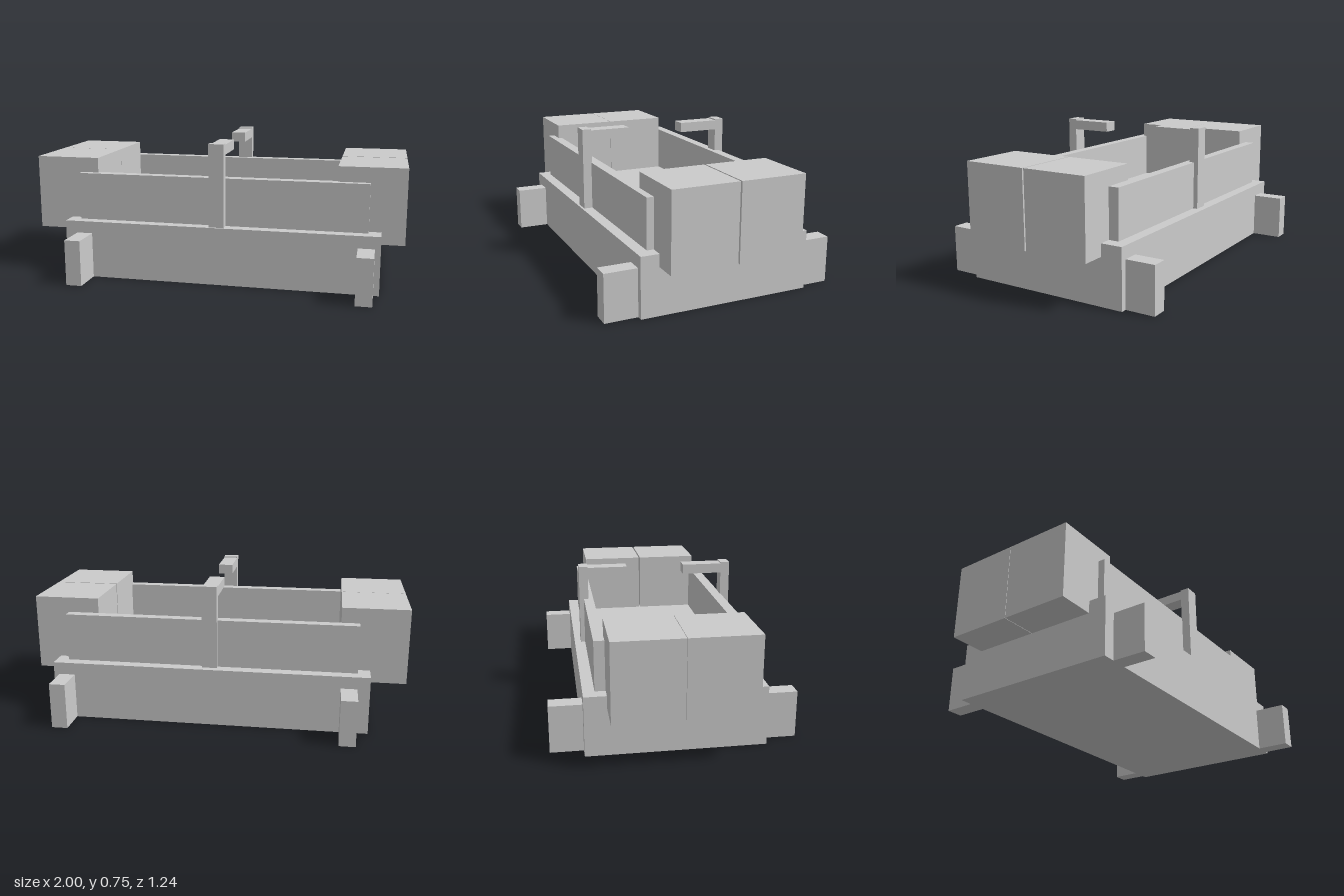
import * as THREE from 'three';

export function createModel() {
  const model = new THREE.Group();
  const material = new THREE.MeshStandardMaterial({ color: 0xcccccc, flatShading: true });

  // Box given by its [min, max] range on each axis
  function block(name, x, y, z) {
    const mesh = new THREE.Mesh(
      new THREE.BoxGeometry(x[1] - x[0], y[1] - y[0], z[1] - z[0]), material);
    mesh.position.set((x[0] + x[1]) / 2, (y[0] + y[1]) / 2, (z[0] + z[1]) / 2);
    mesh.name = name;
    model.add(mesh);
  }

  // Solid base slab
  block('base', [-0.81, 0.88], [0, 0.31], [-0.455, 0.452]);

  // Long side panels standing on the base
  block('frontPanel', [-0.745, 0.815], [0.31, 0.565], [0.337, 0.393]);
  block('backPanel', [-0.745, 0.815], [0.31, 0.565], [-0.396, -0.343]);

  // Pairs of end blocks, with a narrow seam between each pair
  const ends = [
    { side: 'right', x: [-1, -0.65], seam: 0.005 },
    { side: 'left', x: [0.65, 1], seam: 0.011 },
  ];
  for (const { side, x, seam } of ends) {
    block(side + 'FrontEndBlock', x, [0.245, 0.645], [seam, 0.357]);
    block(side + 'BackEndBlock', x, [0.245, 0.645], [-0.342, 0.003]);
  }

  // Feet projecting from the long sides of the base
  block('rightFrontFoot', [-0.745, -0.66], [0, 0.245], [0.452, 0.622]);
  block('leftFrontFoot', [0.765, 0.85], [0, 0.245], [0.452, 0.622]);
  block('rightBackFoot', [-0.745, -0.66], [0, 0.245], [-0.622, -0.455]);
  block('leftBackFoot', [0.765, 0.85], [0, 0.245], [-0.612, -0.455]);

  // Posts with arms reaching inward over the middle
  const armX = [-0.01, 0.07];
  block('frontPost', armX, [0.31, 0.75], [0.39, 0.44]);
  block('frontArm', armX, [0.69, 0.743], [0.171, 0.39]);
  block('backPost', armX, [0.31, 0.75], [-0.42, -0.37]);
  block('backArm', armX, [0.69, 0.743], [-0.37, -0.15]);

  return model;
}
